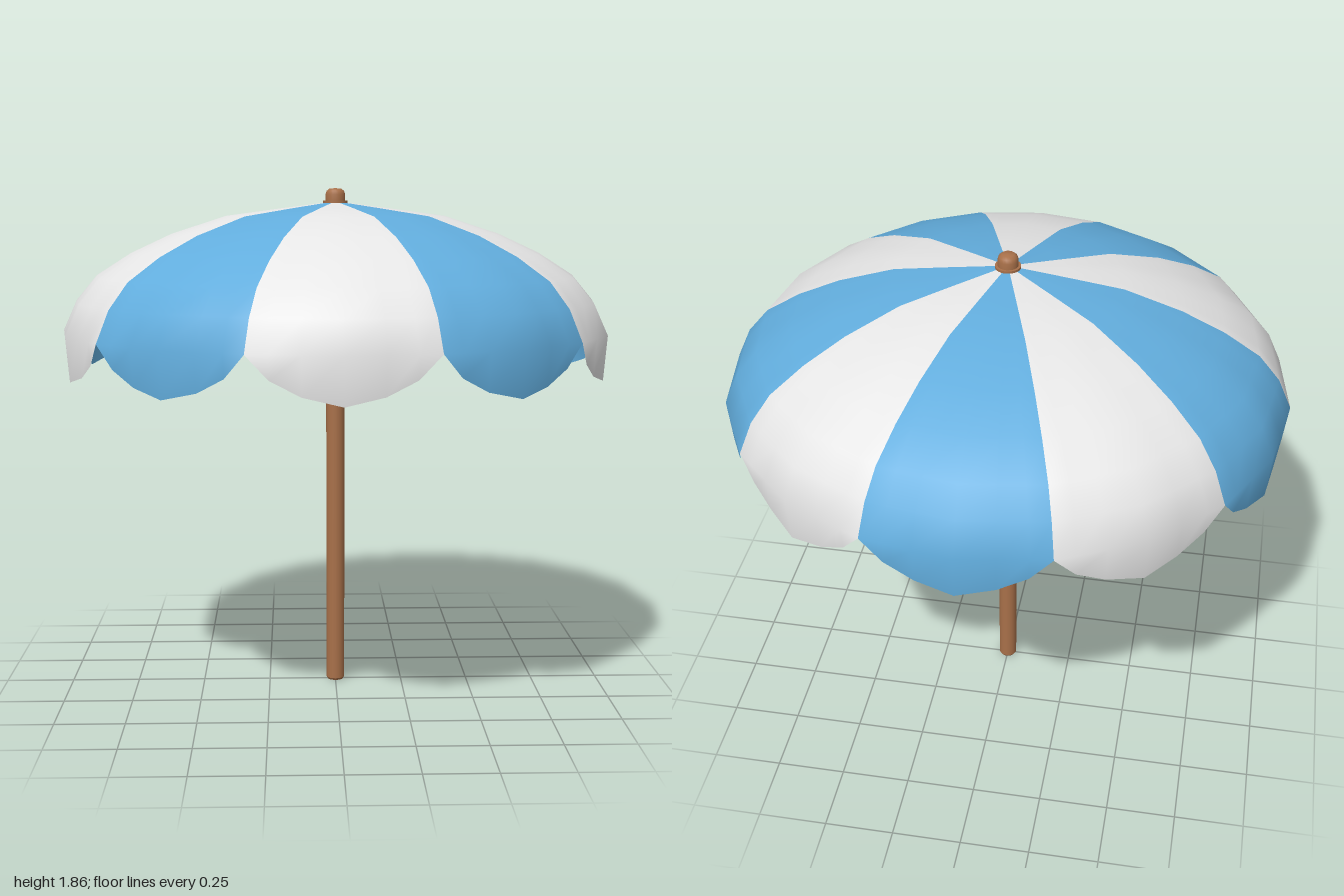
import * as THREE from 'three';

const PANELS = 10;
// Canopy meridian: [radius, height], from the apex to the widest ring
const PROFILE = [[0.02, 1.805], [0.2, 1.782], [0.4, 1.755], [0.6, 1.69], [0.75, 1.62],
  [0.875, 1.54], [0.95, 1.45], [1, 1.34]];
// Scallop across one panel: [position -1..1, share of full drop]
const SCALLOP = [[-1, 0], [-0.76, 0.5], [-0.43, 0.82], [0, 1], [0.43, 0.82], [0.76, 0.5]];
const DROP = 0.16;

function material(name, color) {
  const m = new THREE.MeshStandardMaterial({ color });
  m.name = name;
  return m;
}

// Unit direction on the 20-sided outline, u across panel k
function outline(k, u) {
  const step = Math.PI / PANELS;
  const mid = (2 * k + 1) * step;
  const side = mid + Math.sign(u) * step;
  const t = Math.abs(u);
  return [
    THREE.MathUtils.lerp(Math.cos(mid), Math.cos(side), t),
    THREE.MathUtils.lerp(Math.sin(mid), Math.sin(side), t),
  ];
}

function canopyGeometry() {
  const positions = [];
  const index = [];
  const rows = PROFILE.length + 1;
  const cols = PANELS * SCALLOP.length;

  for (let c = 0; c < cols; c++) {
    const [u, drop] = SCALLOP[c % SCALLOP.length];
    const [dx, dz] = outline(Math.floor(c / SCALLOP.length), u);
    const hem = [1 - 0.013 * drop, 1.34 - DROP * drop];
    for (const [r, y] of [...PROFILE, hem]) positions.push(dx * r, y, dz * r);
  }

  // The hem meets the widest ring at each seam
  const vertex = (c, r) => {
    c %= cols;
    return c * rows + (r === rows - 1 && c % SCALLOP.length === 0 ? r - 1 : r);
  };

  const geometry = new THREE.BufferGeometry();
  for (let k = 0; k < PANELS; k++) {
    const start = index.length;
    for (let i = 0; i < SCALLOP.length; i++) {
      const col = k * SCALLOP.length + i;
      for (let r = 0; r < rows - 1; r++) {
        const a = vertex(col, r), b = vertex(col + 1, r);
        const c = vertex(col, r + 1), d = vertex(col + 1, r + 1);
        if (b !== d) index.push(a, b, d);
        if (a !== c) index.push(a, d, c);
      }
    }
    geometry.addGroup(start, index.length - start, k % 2);
  }
  geometry.setAttribute('position', new THREE.Float32BufferAttribute(positions, 3));
  geometry.setIndex(index);
  geometry.computeVertexNormals();
  return geometry;
}

export function createModel() {
  const model = new THREE.Group();
  model.name = 'parasol';

  const white = material('white fabric', 0xe6e6e6);
  const blue = material('blue fabric', 0x62addd);
  const wood = material('wood', 0xa87049);
  white.side = blue.side = THREE.DoubleSide;

  const add = (name, geometry, mat, y = 0) => {
    const mesh = new THREE.Mesh(geometry, mat);
    mesh.name = name;
    mesh.position.y = y;
    model.add(mesh);
  };

  // Striped scalloped canopy
  add('canopy', canopyGeometry(), [white, blue]);

  // Pole with a small bevel at the foot
  add('poleFoot', new THREE.CylinderGeometry(0.034, 0.029, 0.008, 20), wood, 0.004);
  add('pole', new THREE.CylinderGeometry(0.034, 0.034, 1.8, 20), wood, 0.908);

  // Collar and rounded finial on top
  add('collar', new THREE.CylinderGeometry(0.045, 0.045, 0.02, 20), wood, 1.8);
  const cap = [[0.036, 0], [0.036, 0.022], [0.032, 0.035], [0.022, 0.043], [0, 0.045]];
  add('finial', new THREE.LatheGeometry(cap.map(([x, y]) => new THREE.Vector2(x, y)), 20), wood, 1.81);

  return model;
}
